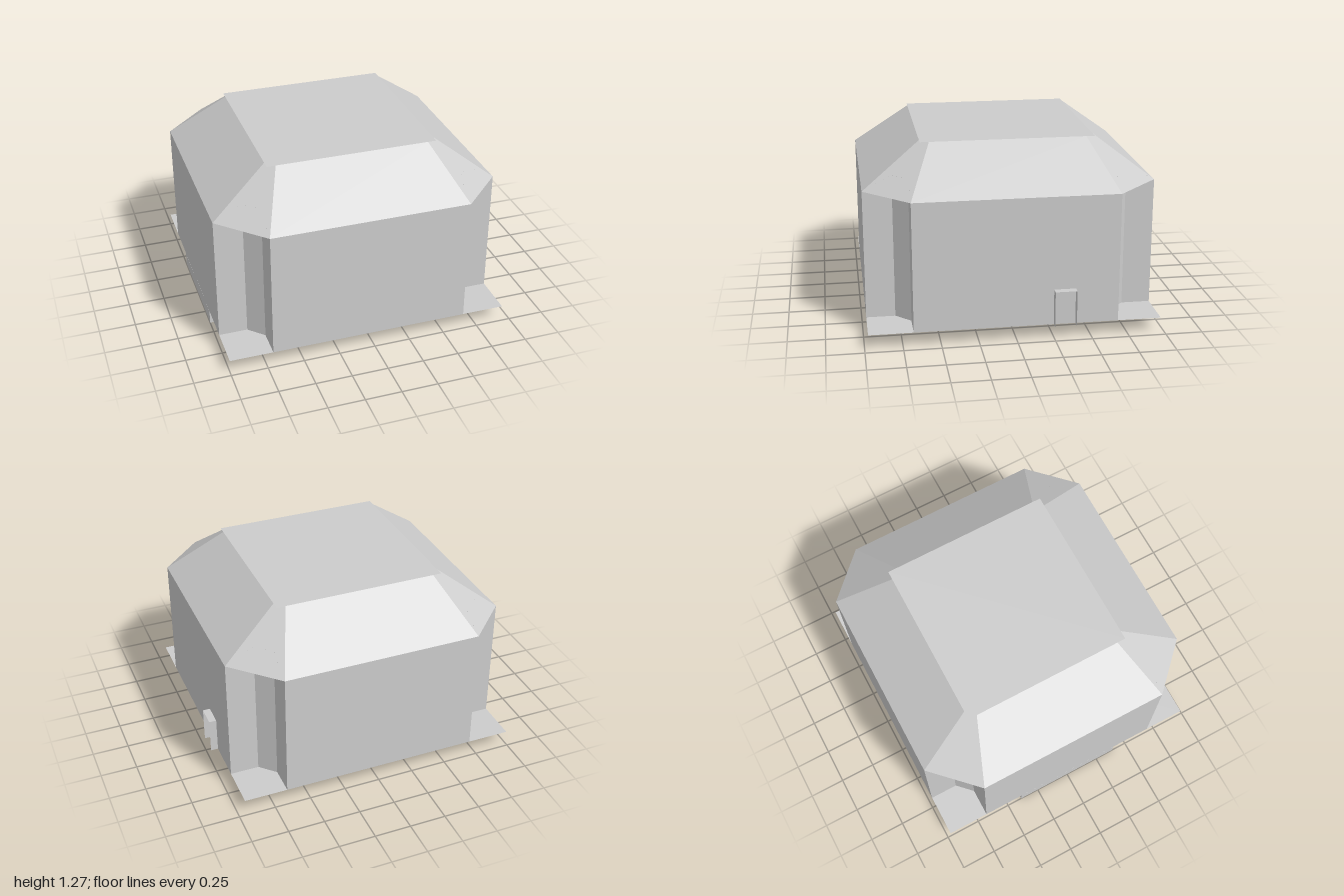
import * as THREE from 'three';

const grey = new THREE.MeshStandardMaterial({ color: 0xcccccc, side: THREE.DoubleSide });
grey.name = 'plain grey';

const CX = -0.025, HALF = 0.975, FLAT = 0.68, NOTCH = 0.78;
const FLOOR = 0.1, EAVE = 0.98, TOP = 1.27, NOTCH_TOP = 1.084;

function add(group, name, geometry, x = 0, y = 0, z = 0) {
  const mesh = new THREE.Mesh(geometry, grey);
  mesh.name = name;
  mesh.position.set(x, y, z);
  group.add(mesh);
  return mesh;
}

// Flat-shaded band joining two closed rings of [x, y, z] points (anticlockwise from above)
function band(lower, upper) {
  const p = [];
  lower.forEach((a, i) => {
    const j = (i + 1) % lower.length;
    p.push(...a, ...lower[j], ...upper[j], ...a, ...upper[j], ...upper[i]);
  });
  const g = new THREE.BufferGeometry();
  g.setAttribute('position', new THREE.Float32BufferAttribute(p, 3));
  g.computeVertexNormals();
  return g;
}

// Repeat one corner's [x, y, z] points around the four corners
function fourCorners(points) {
  const ring = [];
  for (let k = 0; k < 4; k++) {
    for (let [x, y, z] of points) {
      for (let i = 0; i < k; i++) [x, z] = [z, -x];
      ring.push([x, y, z]);
    }
  }
  return ring;
}

function flatSquare(size) {
  return new THREE.PlaneGeometry(size, size).rotateX(-Math.PI / 2);
}

export function createModel() {
  const model = new THREE.Group();
  model.name = 'building';

  // Ground floor sheet
  add(model, 'floor', flatSquare(HALF * 2), CX, FLOOR, 0);

  // Walls with notched corners that run up to the underside of the roof
  const plan = [[FLAT, EAVE, HALF], [FLAT, NOTCH_TOP, NOTCH], [NOTCH, NOTCH_TOP, FLAT], [HALF, EAVE, FLAT]];
  const wallTop = fourCorners(plan);
  const wallBase = wallTop.map(([x, , z]) => [x, FLOOR, z]);
  add(model, 'walls', band(wallBase, wallTop), CX);

  // Sloping roof shell with chamfered corners, and its square top
  const eaves = fourCorners([[FLAT, EAVE, HALF], [HALF, EAVE, FLAT]]);
  const ridge = fourCorners([[0.525, TOP, 0.585], [0.585, TOP, 0.525]]);
  add(model, 'roofSlopes', band(eaves, ridge), CX);
  add(model, 'roofTop', flatSquare(1.17), CX, TOP, 0);

  // Open door hood: two side sheets and a top sheet
  const hood = new THREE.Group();
  hood.name = 'doorHood';
  model.add(hood);
  for (const z of [-0.245, -0.39]) {
    add(hood, 'hoodSide', new THREE.PlaneGeometry(0.05, 0.245), 0.975, 0.2225, z);
  }
  add(hood, 'hoodTop', new THREE.PlaneGeometry(0.05, 0.145).rotateX(-Math.PI / 2), 0.975, 0.345, -0.3175);

  // Lower entrance block with angled corners
  const outline = [[-1, -0.39], [-0.4, -0.39], [-0.2, -0.2], [-0.2, 0.2], [-0.4, 0.39], [-1, 0.39]];
  const shape = new THREE.Shape(outline.map(([x, z]) => new THREE.Vector2(x, z)));
  const block = new THREE.ExtrudeGeometry(shape, { depth: 0.098, bevelEnabled: false }).rotateX(-Math.PI / 2);
  add(model, 'entranceBlock', block);

  // Stair rising away from the block between two side walls
  for (const side of [-1, 1]) {
    add(model, 'stairSideWall', new THREE.BoxGeometry(0.17, 0.098, 0.05), -0.115, 0.049, side * 0.175);
  }
  for (let i = 0; i < 4; i++) {
    const length = 0.04 * (i + 1);
    add(model, 'step', new THREE.BoxGeometry(length, 0.0245, 0.3), -0.2 + length / 2, 0.01225 + i * 0.0245, 0);
  }
  return model;
}
